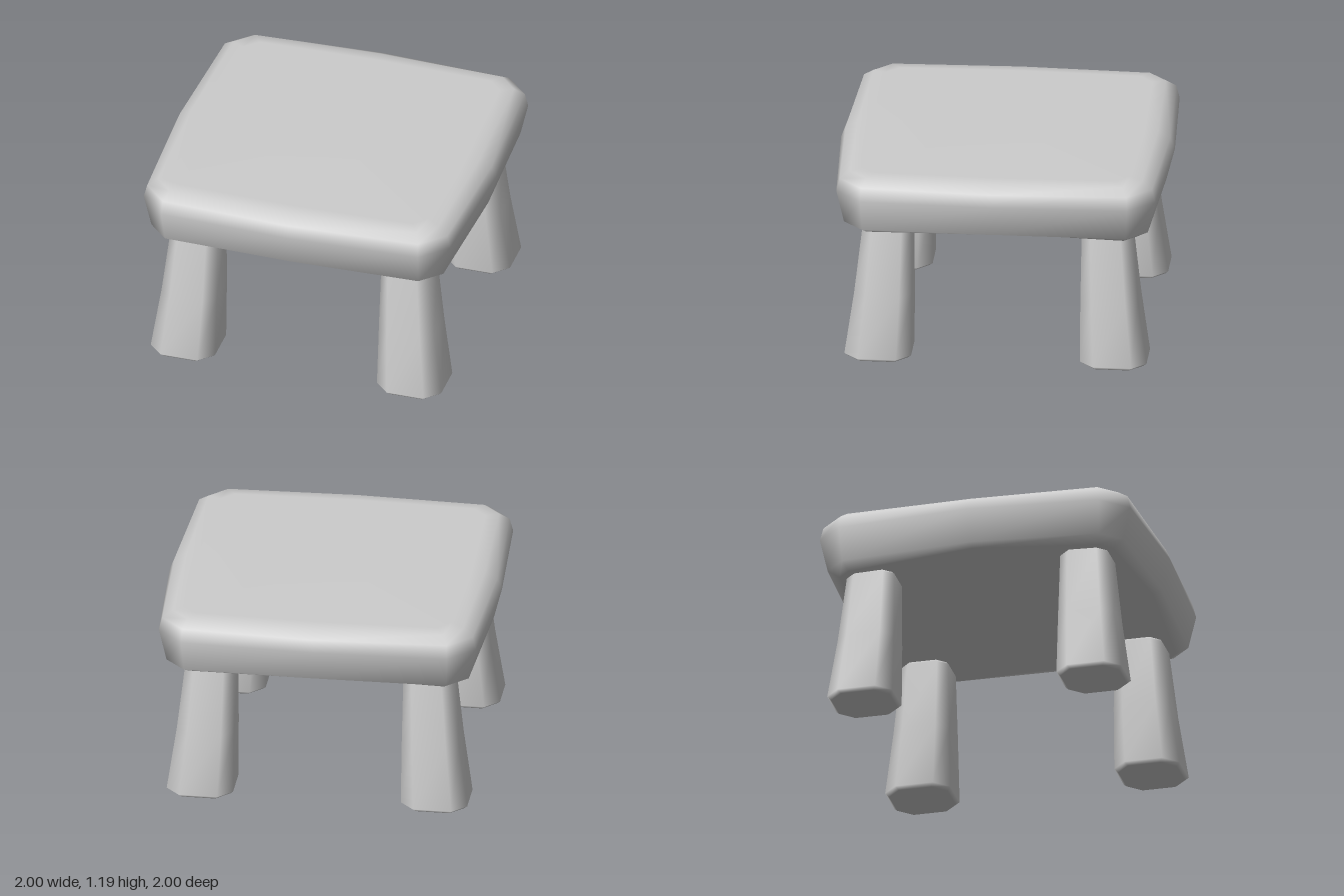
import * as THREE from 'three';

// Skin closed rings of [x, y, z] points, counter-clockwise seen from above, bottom ring first.
// Both ends close with a fan around their centre point.
function loft(rings, bottomCentre, topCentre) {
  const n = rings[0].length;
  const pos = rings.flat(2);
  const index = [];
  for (let r = 0; r < rings.length - 1; r++) {
    for (let i = 0; i < n; i++) {
      const a = r * n + i, b = r * n + (i + 1) % n;
      index.push(a, b, b + n, a, b + n, a + n);
    }
  }
  const bottom = rings.length * n, top = bottom + 1, last = (rings.length - 1) * n;
  pos.push(...bottomCentre, ...topCentre);
  for (let i = 0; i < n; i++) {
    const j = (i + 1) % n;
    index.push(bottom, j, i, top, last + i, last + j);
  }
  const geo = new THREE.BufferGeometry();
  geo.setAttribute('position', new THREE.Float32BufferAttribute(pos, 3));
  geo.setIndex(index);
  geo.computeVertexNormals();
  return geo;
}

// Square with cut corners and sides that bow out to the middle.
function seatRing([mid, side, cut, yMid, yCorner]) {
  const ring = [];
  for (let k = 0; k < 4; k++) {
    const c = Math.round(Math.cos(k * Math.PI / 2)), s = Math.round(Math.sin(k * Math.PI / 2));
    for (const [x, y, z] of [[mid, yMid, 0], [side, yCorner, -cut], [cut, yCorner, -side]]) {
      ring.push([x * c + z * s, y, -x * s + z * c]);
    }
  }
  return ring;
}

// Square from lo to hi on both axes with corners cut by c.
function legRing([lo, hi, c, y]) {
  return [
    [hi, hi - c], [hi, lo + c], [hi - c, lo], [lo + c, lo],
    [lo, lo + c], [lo, hi - c], [lo + c, hi], [hi - c, hi],
  ].map(([x, z]) => [x, y, z]);
}

export function createModel() {
  const group = new THREE.Group();
  const grey = new THREE.MeshStandardMaterial({ color: 0xcccccc });
  grey.name = 'grey';

  // Thick cushion-like seat: mid, side, cut, height at mid, height at corner
  const seat = new THREE.Mesh(loft([
    [0.89, 0.84, 0.77, 0.86, 0.82],
    [0.95, 0.91, 0.79, 0.875, 0.86],
    [1.0, 0.955, 0.80, 1.07, 1.06],
    [0.972, 0.935, 0.795, 1.14, 1.14],
    [0.90, 0.875, 0.77, 1.182, 1.182],
    [0.82, 0.80, 0.72, 1.19, 1.19],
  ].map(seatRing), [0, 0.86, 0], [0, 1.19, 0]), grey);
  seat.name = 'seat';
  group.add(seat);

  // Legs flare outward towards the floor: inner, outer, corner cut, height
  const legGeo = loft([
    [0.525, 0.885, 0.08, 0],
    [0.505, 0.905, 0.085, 0.02],
    [0.505, 0.85, 0.07, 0.4],
    [0.51, 0.803, 0.056, 0.815],
    [0.53, 0.785, 0.05, 0.84],
  ].map(legRing), [0.705, 0, 0.705], [0.657, 0.84, 0.657]);
  ['frontLeftLeg', 'backLeftLeg', 'backRightLeg', 'frontRightLeg'].forEach((name, i) => {
    const leg = new THREE.Mesh(legGeo, grey);
    leg.name = name;
    leg.rotation.y = i * Math.PI / 2;
    group.add(leg);
  });

  return group;
}
